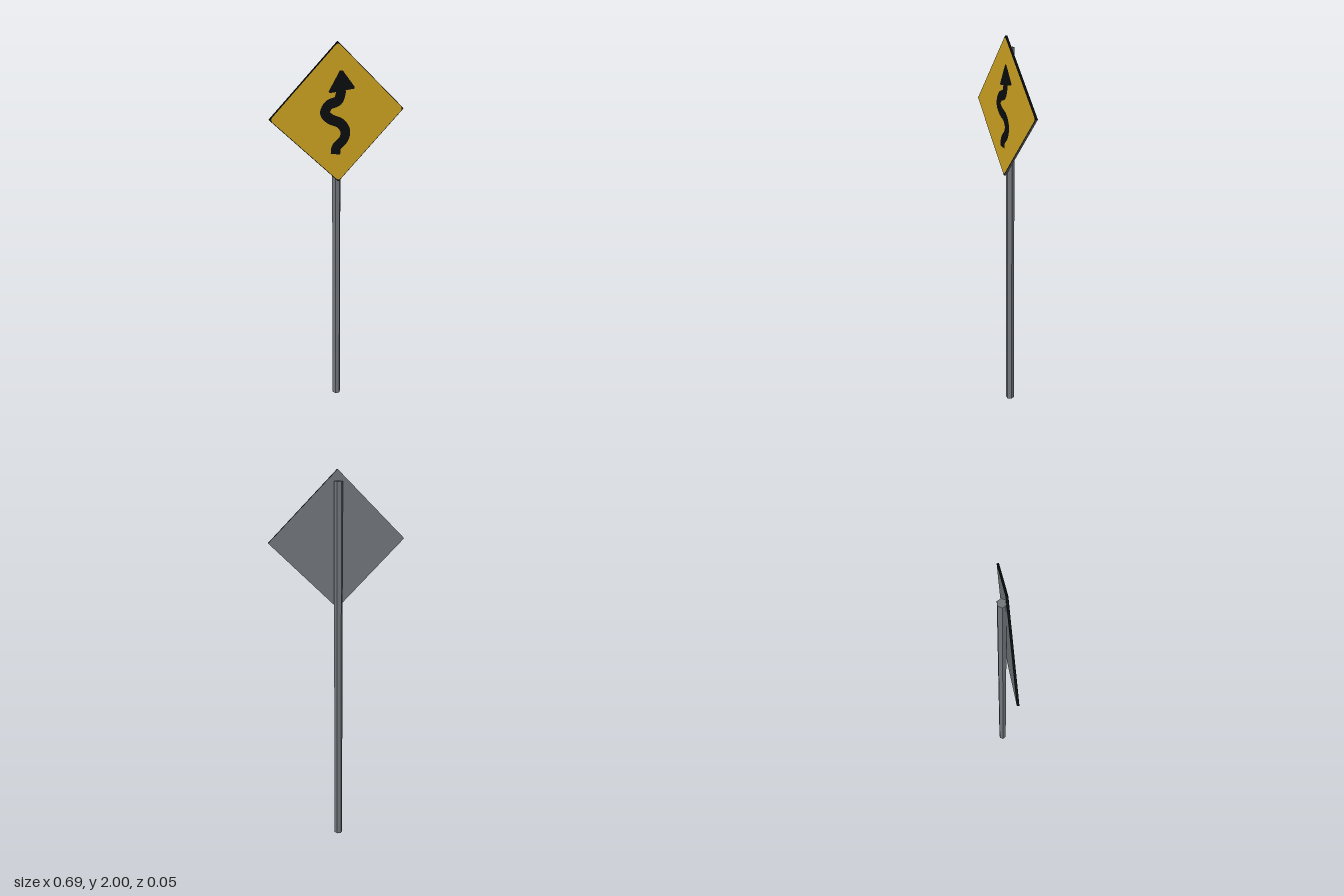
import * as THREE from 'three';

const material = (name, color) => {
  const m = new THREE.MeshStandardMaterial({ color });
  m.name = name;
  return m;
};

// Square outline with rounded corners, centred on the origin
function roundedSquare(half, r) {
  const s = new THREE.Shape();
  s.moveTo(-half + r, -half);
  for (let i = 0; i < 4; i++) {
    const a = i * Math.PI / 2;
    const turn = (x, y) => [x * Math.cos(a) - y * Math.sin(a), x * Math.sin(a) + y * Math.cos(a)];
    s.lineTo(...turn(half - r, -half));
    s.quadraticCurveTo(...turn(half, -half), ...turn(half, -half + r));
  }
  return s;
}

// Outline of a stroke of constant width along a curve
function strokeShape(curve, width, steps) {
  const left = [], right = [];
  for (let i = 0; i <= steps; i++) {
    const p = curve.getPointAt(i / steps);
    const t = curve.getTangentAt(i / steps);
    const n = new THREE.Vector2(-t.y, t.x).multiplyScalar(width / 2);
    left.push(p.clone().add(n));
    right.push(p.clone().sub(n));
  }
  return new THREE.Shape([...right, ...left.reverse()]);
}

export function createModel() {
  const grey = material('galvanised grey', 0x73777c);
  const yellow = material('sign yellow', 0xcfa421);
  const black = material('sign black', 0x0b0c0e);

  const model = new THREE.Group();
  model.name = 'roadSign';
  const add = (parent, name, geometry, mat) => {
    const mesh = new THREE.Mesh(geometry, mat);
    mesh.name = name;
    parent.add(mesh);
    return mesh;
  };

  // Six-sided post
  const height = 1.945;
  const postGeometry = new THREE.CylinderGeometry(0.022, 0.022, height, 6, 1, false, Math.PI / 6)
    .toNonIndexed();
  postGeometry.computeVertexNormals();
  add(model, 'post', postGeometry, grey).position.set(0, height / 2, -0.01);

  // Sign head, leaning back very slightly
  const sign = new THREE.Group();
  sign.name = 'sign';
  sign.position.set(0, 1.655, 0.015);
  sign.rotation.x = -0.012;
  model.add(sign);

  // Diamond panel: black front and upper edges, bare metal back and lower edges
  const side = 0.345 * Math.SQRT2;
  const panel = add(sign, 'panel', new THREE.BoxGeometry(side, side, 0.011),
    [black, grey, black, grey, black, grey]);
  panel.rotation.z = Math.PI / 4;

  // Yellow face with rounded corners, leaving a thin black rim
  const face = add(sign, 'yellowFace', new THREE.ShapeGeometry(roundedSquare(side / 2 - 0.003, 0.018), 6), yellow);
  face.rotation.z = Math.PI / 4;
  face.position.z = 0.0065;

  // Winding arrow: shaft and head
  const path = new THREE.SplineCurve([
    [-0.016, -0.2], [-0.01, -0.163], [0.024, -0.131], [0.036, -0.089], [0.011, -0.047],
    [-0.042, -0.02], [-0.068, 0.012], [-0.048, 0.049], [0, 0.068], [0.016, 0.12],
  ].map(([x, y]) => new THREE.Vector2(x, y)));
  add(sign, 'arrowShaft', new THREE.ShapeGeometry(strokeShape(path, 0.05, 60)), black).position.z = 0.0078;

  const head = new THREE.Shape([
    [-0.05, 0.112], [-0.042, 0.106], [0.08, 0.118], [0.084, 0.126], [0.022, 0.21], [0.008, 0.21],
  ].map(([x, y]) => new THREE.Vector2(x, y)));
  add(sign, 'arrowHead', new THREE.ShapeGeometry(head), black).position.z = 0.008;

  return model;
}
